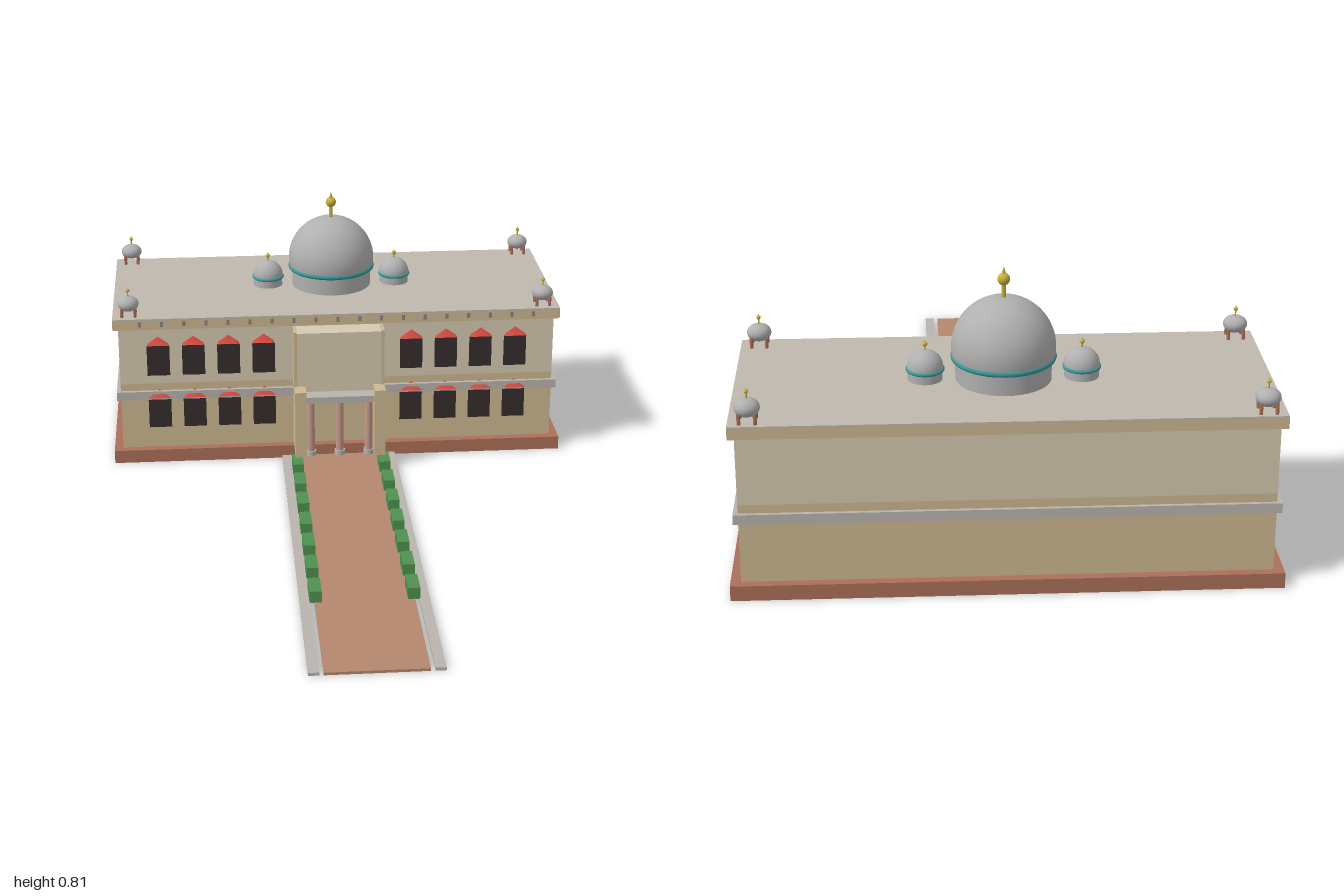
import * as THREE from 'three';

const COLORS = {
  lowerWall: 0xcdb892, upperWall: 0xd5c9b0, plinth: 0xab7059, paving: 0xb5876f, roof: 0xc0b8ae,
  stone: 0xb9b4ae, dome: 0xb0b0b0, dark: 0x352d2e, red: 0xd2493e, hedge: 0x4f9150,
  teal: 0x3a9a98, gold: 0xc9b040, column: 0xc4998a, vent: 0x8a8580,
};
const materials = {};
const mat = (key) => (materials[key] ??= new THREE.MeshStandardMaterial({ color: COLORS[key] }));

function add(parent, name, geometry, color, x = 0, y = 0, z = 0) {
  const mesh = new THREE.Mesh(geometry, mat(color));
  mesh.name = name;
  mesh.position.set(x, y, z);
  parent.add(mesh);
  return mesh;
}

// box given by its extents along each axis
function box(parent, name, color, [x0, x1], [y0, y1], [z0, z1]) {
  return add(parent, name, new THREE.BoxGeometry(x1 - x0, y1 - y0, z1 - z0), color,
    (x0 + x1) / 2, (y0 + y1) / 2, (z0 + z1) / 2);
}

function cylinder(parent, name, color, r, y0, y1, x = 0, z = 0, sides = 24, rTop = r) {
  return add(parent, name, new THREE.CylinderGeometry(rTop, r, y1 - y0, sides), color, x, (y0 + y1) / 2, z);
}

// rod, ball and spike on top of a dome
function finial(parent, y, ballY, r, tipY) {
  cylinder(parent, 'finialRod', 'gold', r * 0.35, y - 0.01, ballY, 0, 0, 10);
  add(parent, 'finialBall', new THREE.SphereGeometry(r, 16, 12), 'gold', 0, ballY, 0);
  cylinder(parent, 'finialTip', 'gold', r * 0.4, ballY + r * 0.8, tipY, 0, 0, 10, 0.0005);
}

// drum, teal ring and bulging dome, heights measured from the roof
function domedDrum(name, x, z, d) {
  const g = new THREE.Group();
  g.name = name;
  g.position.set(x, ROOF, z);
  cylinder(g, 'drum', 'dome', d.drumR, 0, d.ringY, 0, 0, 40);
  const ring = add(g, 'ring', new THREE.TorusGeometry(d.ringR, d.ringT, 10, 48), 'teal', 0, d.ringY, 0);
  ring.rotation.x = Math.PI / 2;
  const cut = Math.acos((d.ringY - d.centerY) / d.domeR);
  add(g, 'dome', new THREE.SphereGeometry(d.domeR, 40, 24, 0, Math.PI * 2, 0, cut), 'dome', 0, d.centerY, 0);
  finial(g, d.centerY + d.domeR, d.ballY, d.ballR, d.tipY);
  return g;
}

// small corner pavilion: four legs under a flattened dome
function pavilion(x, z) {
  const g = new THREE.Group();
  g.name = 'cornerPavilion';
  g.position.set(x, ROOF, z);
  for (const sx of [-1, 1]) for (const sz of [-1, 1])
    cylinder(g, 'leg', 'plinth', 0.005, 0, 0.03, sx * 0.021, sz * 0.021, 8);
  const dome = add(g, 'dome', new THREE.SphereGeometry(0.034, 24, 16), 'dome', 0, 0.04, 0);
  dome.scale.y = 0.73;
  finial(g, 0.064, 0.084, 0.006, 0.094);
  return g;
}

// dark opening under a small red pitched hood
function windowBay(x, y) {
  const g = new THREE.Group();
  g.name = 'window';
  box(g, 'opening', 'dark', [x - 0.0365, x + 0.0365], [y, y + 0.102], [FRONT - 0.01, FRONT + 0.004]);
  const hood = add(g, 'hood', new THREE.ConeGeometry(Math.SQRT1_2, 1, 4).rotateY(Math.PI / 4), 'red', x, y + 0.121, FRONT);
  hood.scale.set(0.068, 0.024, 0.042);
  return g;
}

const ROOF = 0.495, FRONT = -0.407, DOME_Z = -0.696;

export function createModel() {
  const model = new THREE.Group();
  model.name = 'domedHall';

  // main building
  box(model, 'plinth', 'plinth', [-0.733, 0.733], [0, 0.043], [-1, -0.38]);
  box(model, 'lowerStorey', 'lowerWall', [-0.705, 0.705], [0.043, 0.267], [-0.975, FRONT]);
  box(model, 'upperStorey', 'upperWall', [-0.705, 0.705], [0.267, 0.46], [-0.975, FRONT]);
  box(model, 'stringCourse', 'stone', [-0.718, 0.718], [0.215, 0.243], [-0.985, -0.395]);
  box(model, 'cornice', 'lowerWall', [-0.722, 0.722], [0.459, 0.49], [-0.99, -0.392]);
  box(model, 'roof', 'roof', [-0.722, 0.722], [0.49, ROOF], [-0.99, -0.392]);
  for (let i = -9; i <= 9; i++)
    box(model, 'corniceVent', 'vent', [i * 0.0706 - 0.005, i * 0.0706 + 0.005], [0.469, 0.486], [-0.4, -0.39]);

  // windows on both storeys
  for (const side of [-1, 1])
    for (let i = 0; i < 4; i++)
      for (const y of [0.114, 0.296]) model.add(windowBay(side * (0.24 + i * 0.1133), y));

  // domes
  model.add(domedDrum('mainDome', 0, DOME_Z, { drumR: 0.13, ringR: 0.134, ringT: 0.009, ringY: 0.064,
    domeR: 0.141, centerY: 0.09, ballY: 0.281, ballR: 0.017, tipY: 0.315 }));
  for (const side of [-1, 1]) {
    model.add(domedDrum('sideDome', side * 0.211, DOME_Z, { drumR: 0.047, ringR: 0.047, ringT: 0.0055, ringY: 0.029,
      domeR: 0.049, centerY: 0.034, ballY: 0.1, ballR: 0.007, tipY: 0.111 }));
    for (const z of [-0.955, -0.435]) model.add(pavilion(side * 0.67, z));
  }

  // entrance porch
  const porch = new THREE.Group();
  porch.name = 'porch';
  model.add(porch);
  box(porch, 'upperBay', 'upperWall', [-0.137, 0.137], [0.228, 0.452], [FRONT, -0.337]);
  box(porch, 'lintel', 'stone', [-0.112, 0.112], [0.228, 0.25], [-0.337, -0.288]);
  for (const side of [-1, 1]) {
    const pier = box(porch, 'pier', 'lowerWall', [-0.018, 0.018], [0.043, 0.27], [FRONT, -0.281]);
    pier.position.x = side * 0.128;
    const strip = box(porch, 'bayEdge', 'lowerWall', [-0.005, 0.005], [0.27, 0.456], [FRONT, -0.334]);
    strip.position.x = side * 0.141;
  }
  for (const x of [-0.094, 0, 0.094]) {
    cylinder(porch, 'column', 'column', 0.0125, 0.05, 0.23, x, -0.32, 20);
    cylinder(porch, 'columnBase', 'stone', 0.017, 0.036, 0.052, x, -0.32, 20);
  }

  // approach path with kerbs and hedges
  box(model, 'path', 'paving', [-0.143, 0.143], [0, 0.008], [-0.385, 1]);
  for (const side of [-1, 1]) {
    const kerb = box(model, 'kerb', 'stone', [-0.015, 0.015], [0, 0.009], [-0.385, 1]);
    kerb.position.x = side * 0.17;
    for (let i = 0; i < 7; i++) {
      const z = 0.578 - i * 0.1413;
      const hedge = box(model, 'hedge', 'hedge', [-0.0175, 0.0175], [0.007, 0.043], [z - 0.0415, z + 0.0415]);
      hedge.position.x = side * 0.14;
    }
  }
  return model;
}
